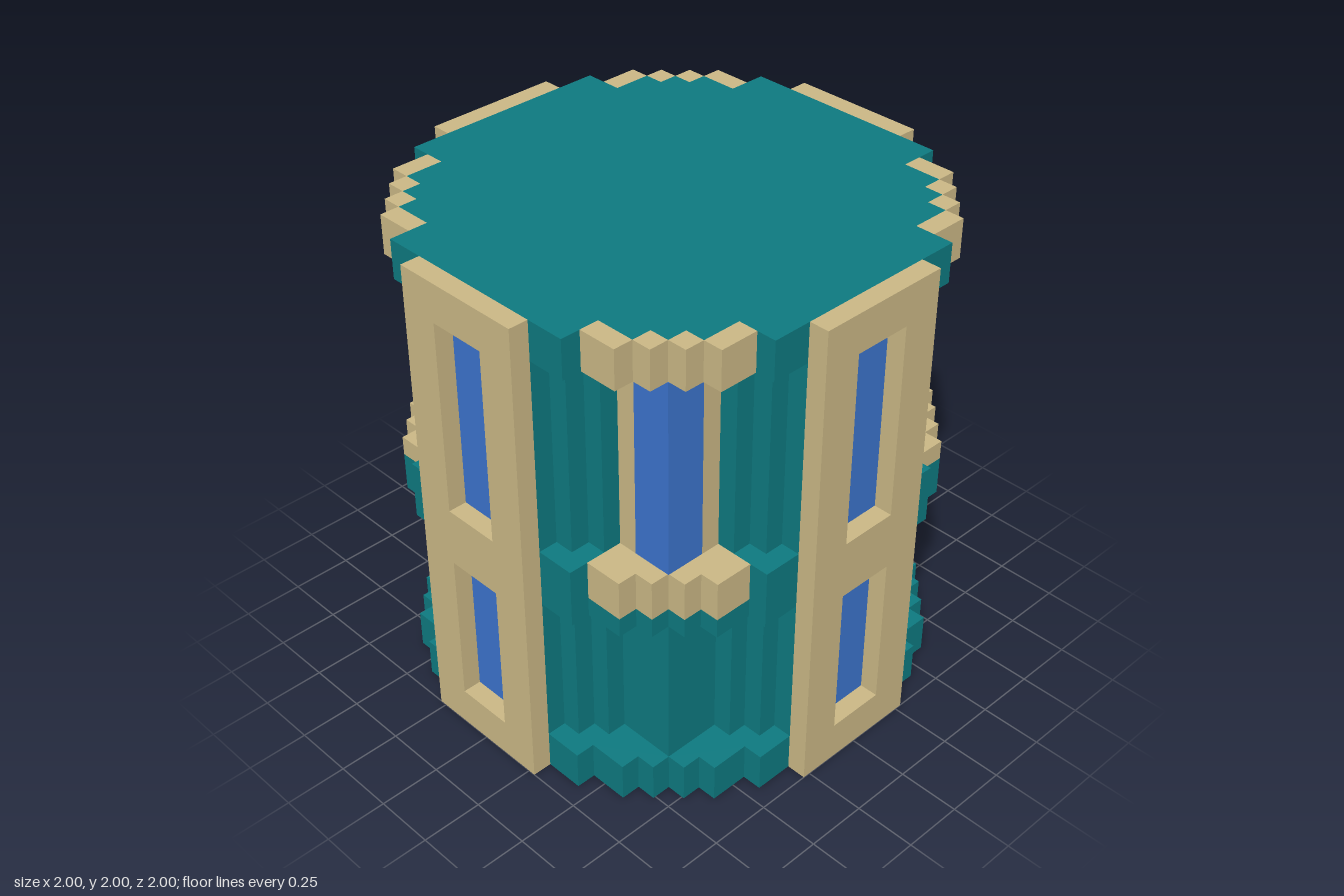
import * as THREE from 'three';

const U = 0.08; // one block; the tower is 25 blocks in each direction

const paint = (name, color) => {
  const m = new THREE.MeshStandardMaterial({ color });
  m.name = name;
  return m;
};

export function createModel() {
  const teal = paint('teal wall', 0x0e7a80);
  const sand = paint('sand stone', 0xcbb886);
  const blue = paint('blue glass', 0x3c74cd);
  const model = new THREE.Group();
  model.name = 'tower';

  const add = (parent, name, geometry, material) => {
    const mesh = new THREE.Mesh(geometry.scale(U, U, U), material);
    mesh.name = name;
    parent.add(mesh);
  };

  // box given by its lower and upper limits in blocks
  const box = (parent, name, material, [x0, x1], [y0, y1], [z0, z1]) =>
    add(parent, name, new THREE.BoxGeometry(x1 - x0, y1 - y0, z1 - z0)
      .translate((x0 + x1) / 2, (y0 + y1) / 2, (z0 + z1) / 2), material);

  // stepped round storey: an eighth of its outline, mirrored and turned four times
  const storey = (name, eighth, y0, y1) => {
    const quarter = [...eighth, ...eighth.slice(0, -1).reverse().map(([x, y]) => [y, x])];
    const points = [];
    for (let i = 0; i < 4; i++) {
      for (const [x, y] of quarter) {
        const [a, b] = [[x, y], [y, -x], [-x, -y], [-y, x]][i];
        points.push(new THREE.Vector2(a, b));
      }
    }
    const g = new THREE.ExtrudeGeometry(new THREE.Shape(points), { depth: y1 - y0, bevelEnabled: false });
    add(model, name, g.rotateX(-Math.PI / 2).translate(0, y0, 0), teal);
  };

  const bandOutline = [[5.5, 11.5], [5.5, 10.5], [7.5, 10.5], [7.5, 9.5], [8.5, 9.5], [8.5, 8.5]];
  const wallOutline = [[3.5, 11.5], [3.5, 10.5], [4.5, 10.5], [4.5, 9.5], [5.5, 9.5], [5.5, 8.5], [8.5, 8.5]];
  const roofOutline = [[5.5, 11.5], [5.5, 9.5], [7.5, 9.5], [7.5, 8.5], [8.5, 8.5]];
  const ledgeOutline = [[5.5, 11.5], [5.5, 8.5], [8.5, 8.5]];

  storey('baseBand', bandOutline, 0, 2);
  storey('lowerWall', wallOutline, 2, 10);
  storey('middleBand', bandOutline, 10, 11);
  storey('middleLedge', ledgeOutline, 11, 13);
  storey('upperWall', wallOutline, 13, 23);
  storey('roofBand', roofOutline, 23, 25);

  // stepped blocks filling a corner of a band, on both sides of the diagonal
  const cornerBlocks = (parent, name, material, y, inner) => {
    box(parent, name, material, [5.5, 7.5], y, [inner, 10.5]);
    box(parent, name, material, [7.5, 8.5], y, [8.5, 9.5]);
    box(parent, name, material, [inner, 10.5], y, [5.5, 7.5]);
    box(parent, name, material, [8.5, 9.5], y, [7.5, 8.5]);
  };

  for (let i = 0; i < 4; i++) {
    // facade slab with two window openings
    const facade = new THREE.Group();
    facade.name = 'facade';
    const rect = (Type, x, y0, y1) => new Type([[-x, y0], [x, y0], [x, y1], [-x, y1]]
      .map(p => new THREE.Vector2(...p)));
    const slab = rect(THREE.Shape, 3.5, 0, 25);
    slab.holes.push(rect(THREE.Path, 1.5, 2, 10), rect(THREE.Path, 1.5, 13, 23));
    add(facade, 'facadeSlab', new THREE.ExtrudeGeometry(slab, { depth: 1, bevelEnabled: false })
      .translate(0, 0, 11.5), sand);
    box(facade, 'lowerWindow', blue, [-1.5, 1.5], [2, 10], [11.45, 11.55]);
    box(facade, 'upperWindow', blue, [-1.5, 1.5], [13, 23], [11.45, 11.55]);

    // corner bay: cornice, sill and a window that wraps the corner
    const bay = new THREE.Group();
    bay.name = 'cornerBay';
    const sillBottom = i % 2 ? 12 : 11; // deeper sills on opposite corners
    cornerBlocks(bay, 'cornice', sand, [23, 25], 9.5);
    cornerBlocks(bay, 'sill', sand, [sillBottom, 13], 8.5);
    if (sillBottom > 11) cornerBlocks(bay, 'sillSupport', teal, [11, 12], 8.5);
    const y = [13, 23], face = [8.45, 8.55];
    box(bay, 'cornerWindow', blue, [6.5, 8.55], y, face);
    box(bay, 'cornerWindow', blue, face, y, [6.5, 8.5]);
    box(bay, 'windowFrame', sand, [5.5, 6.5], y, face);
    box(bay, 'windowFrame', sand, face, y, [5.5, 6.5]);

    facade.rotation.y = bay.rotation.y = i * Math.PI / 2;
    model.add(facade, bay);
  }
  return model;
}
